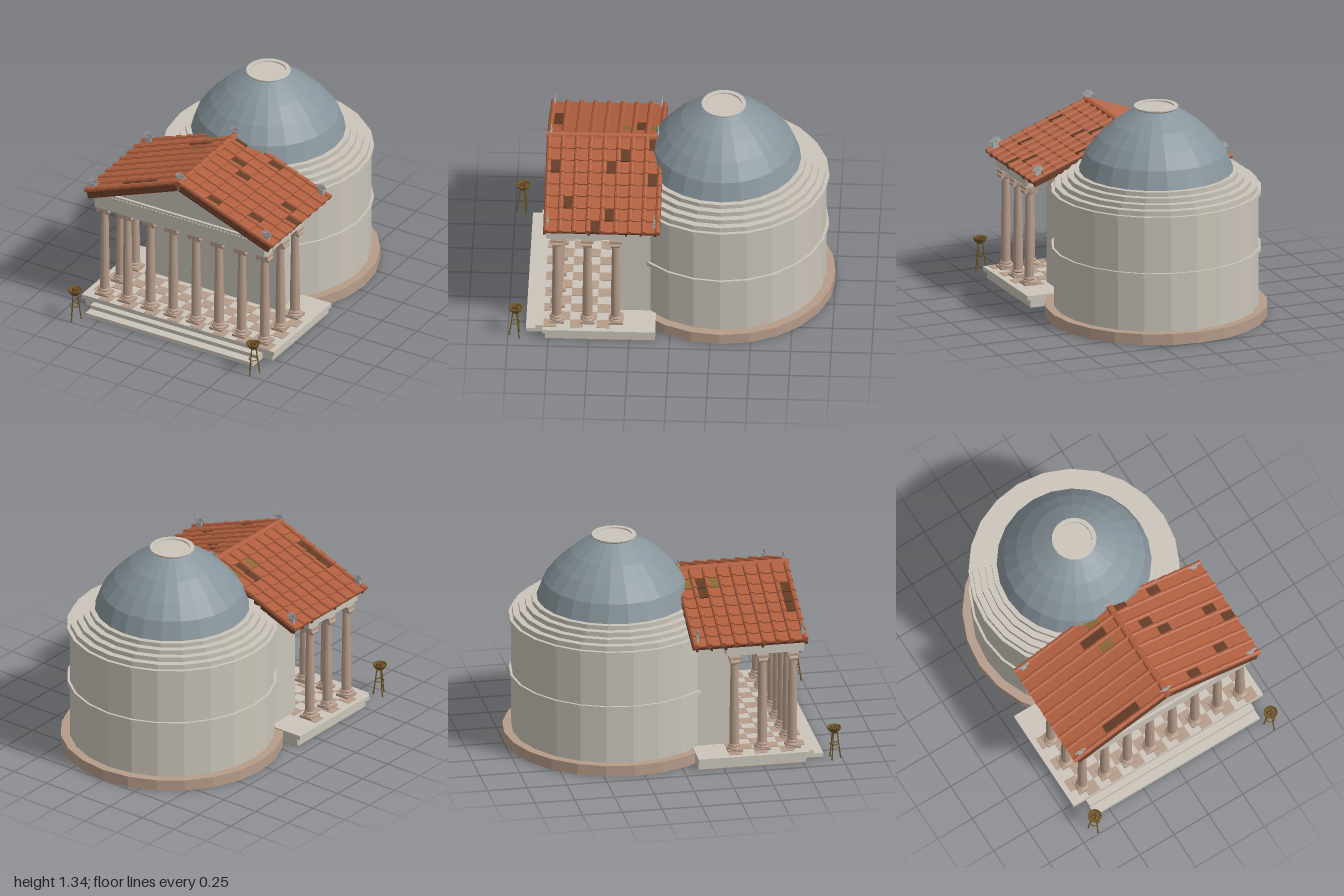
import * as THREE from 'three';
import { mergeGeometries } from 'three/addons/utils/BufferGeometryUtils.js';

const mat = (name, color, side = THREE.FrontSide) => {
  const m = new THREE.MeshStandardMaterial({ color, side });
  m.name = name;
  return m;
};

export function createModel() {
  const stone = mat('pale stone', 0xcac4b9);
  const pink = mat('pink stone', 0xb69c8a);
  const lead = mat('lead dome', 0x87949b);
  const clay = mat('terracotta', 0xb15f3e);
  const darkClay = mat('dark terracotta', 0x613a24);
  const mossy = mat('mossy tile', 0x8a6a35);
  const wood = mat('roof timber', 0x6e402a);
  const bronze = mat('bronze', 0x6f5623);
  const silver = mat('grey ornament', 0xaeb0ae);

  const model = new THREE.Group();
  model.name = 'domedTemple';
  const add = (name, geo, material, x = 0, y = 0, z = 0, parent = model) => {
    const m = new THREE.Mesh(geo, material);
    m.name = name;
    m.position.set(x, y, z);
    parent.add(m);
    return m;
  };
  const flat = (g) => {
    const f = g.index ? g.toNonIndexed() : g;
    f.computeVertexNormals();
    return f;
  };
  // Box given by its limits on each axis
  const block = (name, material, x0, x1, y0, y1, z0, z1, parent) =>
    add(name, new THREE.BoxGeometry(x1 - x0, y1 - y0, z1 - z0), material,
      (x0 + x1) / 2, (y0 + y1) / 2, (z0 + z1) / 2, parent);
  const lathe = (pts, seg) => new THREE.LatheGeometry(pts.map((p) => new THREE.Vector2(...p)), seg);
  let seed = 11;
  const rnd = () => (seed = (seed * 16807) % 2147483647) / 2147483647;

  // Rotunda: drums stacked as [name, radius, bottom, top, material]
  const CZ = -0.31;
  [['rotundaBase', 0.69, 0, 0.07, pink], ['rotundaWall', 0.635, 0.07, 0.79, stone],
    ['middleBand', 0.65, 0.42, 0.447, stone], ['upperBand', 0.652, 0.785, 0.81, stone],
    ['domeStep1', 0.63, 0.81, 0.843, stone], ['domeStep2', 0.59, 0.843, 0.872, stone],
    ['domeStep3', 0.55, 0.872, 0.902, stone], ['domeStep4', 0.51, 0.902, 0.93, stone],
  ].forEach(([n, r, a, b, m]) =>
    add(n, flat(new THREE.CylinderGeometry(r, r, b - a, 24)), m, 0, (a + b) / 2, CZ));
  add('dome', flat(lathe([[0.48, 0.925], [0.437, 1.044], [0.36, 1.14], [0.265, 1.23],
    [0.185, 1.285], [0.125, 1.322]], 24)), lead, 0, 0, CZ);
  add('oculusRing', flat(lathe([[0.122, 1.318], [0.138, 1.332], [0.138, 1.338], [0.11, 1.338], [0.108, 1.326]], 24)),
    stone, 0, 0, CZ);
  add('oculusCover', flat(new THREE.CylinderGeometry(0.112, 0.112, 0.01, 24)), stone, 0, 1.324, CZ);

  // Podium and steps
  block('podiumUnderside', pink, -0.67, 0.67, 0, 0.004, 0.09, 0.77);
  block('podiumBody', stone, -0.67, 0.67, 0.004, 0.05, 0.09, 0.77);
  block('podiumTop', stone, -0.69, 0.69, 0.05, 0.077, 0.09, 0.785);
  block('lowerStep', stone, -0.6, 0.6, 0, 0.025, 0.77, 0.89);
  block('upperStep', stone, -0.6, 0.6, 0.025, 0.05, 0.77, 0.83);

  // Checkered floor
  const checks = [];
  for (let i = 0; i < 16; i++) for (let j = 0; j < 6; j++) {
    if ((i + j) % 2) continue;
    const g = new THREE.BoxGeometry(0.081, 0.004, 0.081);
    g.translate(-0.615 + i * 0.082, 0.078, 0.33 + j * 0.082);
    checks.push(g);
  }
  add('floorChecks', mergeGeometries(checks), pink);

  // Columns: eight in front and two more along each side
  const shaftGeo = lathe([[0, 0.09], [0.042, 0.09], [0.044, 0.097], [0.04, 0.104], [0.034, 0.107], [0.038, 0.113],
    [0.036, 0.12], [0.03, 0.124], [0.03, 0.3], [0.024, 0.66], [0.029, 0.667], [0.032, 0.69], [0, 0.69]], 16);
  const volute = new THREE.CylinderGeometry(0.013, 0.013, 0.056, 10).rotateX(Math.PI / 2);
  const column = (x, z) => {
    const g = new THREE.Group();
    g.name = 'column';
    g.position.set(x, 0, z);
    add('shaft', flat(shaftGeo), pink, 0, 0, 0, g);
    block('plinth', pink, -0.045, 0.045, 0.077, 0.092, -0.045, 0.045, g);
    block('scrollBar', pink, -0.034, 0.034, 0.676, 0.688, -0.027, 0.027, g);
    for (const s of [-1, 1]) add('volute', volute, pink, s * 0.033, 0.675, 0, g);
    block('abacus', pink, -0.042, 0.042, 0.692, 0.71, -0.038, 0.038, g);
    block('bearing', stone, -0.035, 0.035, 0.708, 0.722, -0.033, 0.033, g);
    model.add(g);
  };
  for (let i = 0; i < 8; i++) column(-0.574 + i * 0.164, 0.7);
  for (const x of [-0.574, 0.574]) for (const z of [0.51, 0.335]) column(x, z);

  // Entablature, bead course and gables
  block('frontBeam', stone, -0.61, 0.61, 0.72, 0.83, 0.65, 0.765);
  for (const s of [-1, 1]) {
    const [a, b] = s < 0 ? [-0.61, -0.52] : [0.52, 0.61];
    block('sideBeam', stone, a, b, 0.72, 0.81, 0.28, 0.65);
  }
  block('cornice', stone, -0.61, 0.61, 0.83, 0.842, 0.65, 0.775);
  const beads = [];
  for (let i = 0; i < 46; i++)
    beads.push(new THREE.SphereGeometry(0.008, 6, 5).translate(-0.585 + i * 0.026, 0.819, 0.766));
  add('beadCourse', mergeGeometries(beads), stone);
  const SLOPE = 0.367, TAN = Math.tan(SLOPE), APEX = 1.04;
  const gable = (name, hw, y0, z0, z1) => {
    const eave = APEX - hw * TAN;
    const s = new THREE.Shape([[-hw, y0], [hw, y0], [hw, eave], [0, APEX], [-hw, eave]]
      .map((p) => new THREE.Vector2(...p)));
    add(name, new THREE.ExtrudeGeometry(s, { depth: z1 - z0, bevelEnabled: false }), stone, 0, 0, z0);
  };
  gable('pediment', 0.6, 0.805, 0.69, 0.757);
  gable('entranceWall', 0.46, 0.077, 0.12, 0.333);

  // Roof: one slope built along +x, turned half round for the other
  const RZ = 0.42, ROWS = 8, LEN = 0.7, STEP = LEN / ROWS, GAP = 0.086;
  for (const side of [1, -1]) {
    const turn = new THREE.Group();
    turn.name = side > 0 ? 'leftRoof' : 'rightRoof';
    turn.position.set(0, APEX, RZ);
    turn.rotation.y = side > 0 ? 0 : Math.PI;
    model.add(turn);
    const pitch = new THREE.Group();
    pitch.name = 'roofSlope';
    pitch.rotation.z = -SLOPE;
    turn.add(pitch);
    block('deck', wood, 0, LEN - 0.005, 0, 0.025, -0.36, 0.36, pitch);
    for (const z of [0.09, 0.18, 0.27, 0.5, 0.775]) {
      const c = side * (z - RZ);
      block('rafter', wood, 0.01, LEN - 0.005, -0.016, 0.002, c - 0.007, c + 0.007, pitch);
    }
    const pans = { clay: [], dark: [], moss: [] };
    for (let j = 0; j < 9; j++) for (let k = 0; k < ROWS; k++) {
      const x = (k + 0.5) * STEP, z = side * (j - 4) * GAP;
      const cover = new THREE.CylinderGeometry(0.018, 0.014, STEP * 1.1, 8).rotateZ(-Math.PI / 2 + 0.05);
      pans.clay.push(cover.translate(x + 0.004, 0.036, z));
      if (j === 8) continue;
      const pan = new THREE.BoxGeometry(STEP * 1.12, 0.01, GAP - 0.004).rotateZ(0.09);
      pan.translate(x + 0.002, 0.031, z + side * GAP / 2);
      const moss = side < 0 && k === 1 && (j === 0 || j === 2);
      pans[moss ? 'moss' : rnd() < 0.09 ? 'dark' : 'clay'].push(pan);
    }
    add('roofTiles', flat(mergeGeometries(pans.clay)), clay, 0, 0, 0, pitch);
    if (pans.dark.length) add('darkTiles', flat(mergeGeometries(pans.dark)), darkClay, 0, 0, 0, pitch);
    if (pans.moss.length) add('mossyTiles', flat(mergeGeometries(pans.moss)), mossy, 0, 0, 0, pitch);
  }
  const ridge = [];
  for (let j = 0; j < 8; j++)
    ridge.push(new THREE.CylinderGeometry(0.025, 0.021, 0.096, 8).rotateX(Math.PI / 2).translate(0, 1.067, 0.106 + j * 0.09));
  add('ridgeTiles', flat(mergeGeometries(ridge)), clay);

  // Palmette ornaments on the ridge ends and eave corners
  const petals = [];
  for (let i = -3; i <= 3; i++) {
    const g = new THREE.SphereGeometry(1, 8, 6).scale(0.006, 0.021 - Math.abs(i) * 0.001, 0.004);
    petals.push(g.translate(0, 0.025, 0).rotateZ(-i * 0.42));
  }
  petals.push(new THREE.BoxGeometry(0.035, 0.012, 0.012));
  const palmette = mergeGeometries(petals);
  for (const z of [0.755, 0.095]) {
    add('palmette', palmette, silver, 0, 1.1, z);
    for (const s of [-1, 1]) {
      add('palmette', palmette, silver, s * 0.62, 0.873, z);
      block('palmetteFoot', silver, s * 0.62 - 0.018, s * 0.62 + 0.018, 0.835, 0.87, z - 0.007, z + 0.007);
    }
  }

  // Tripod braziers
  const rod = (a, b, r) => new THREE.TubeGeometry(
    new THREE.LineCurve3(new THREE.Vector3(...a), new THREE.Vector3(...b)), 1, r, 6);
  for (const s of [-1, 1]) {
    const g = new THREE.Group();
    g.name = 'brazier';
    g.position.set(s * 0.64, 0, 0.95);
    model.add(g);
    add('bowl', flat(lathe([[0, 0.168], [0.018, 0.174], [0.034, 0.19], [0.044, 0.208], [0.044, 0.213],
      [0.038, 0.213], [0.034, 0.203], [0, 0.201]], 12)), bronze, 0, 0, 0, g);
    for (let i = 0; i < 3; i++) {
      const a = i * Math.PI * 2 / 3 + Math.PI / 2, c = Math.cos(a), d = Math.sin(a);
      add('leg', rod([c * 0.016, 0.185, d * 0.016], [c * 0.04, 0.005, d * 0.04], 0.004), bronze, 0, 0, 0, g);
      add('foot', new THREE.SphereGeometry(0.007, 6, 5), bronze, c * 0.04, 0.007, d * 0.04, g);
      add('coal', new THREE.DodecahedronGeometry(0.011), darkClay, c * 0.014, 0.205, d * 0.014, g);
    }
    add('brace', new THREE.TorusGeometry(0.027, 0.003, 5, 12).rotateX(Math.PI / 2), bronze, 0, 0.1, 0, g);
  }
  return model;
}
